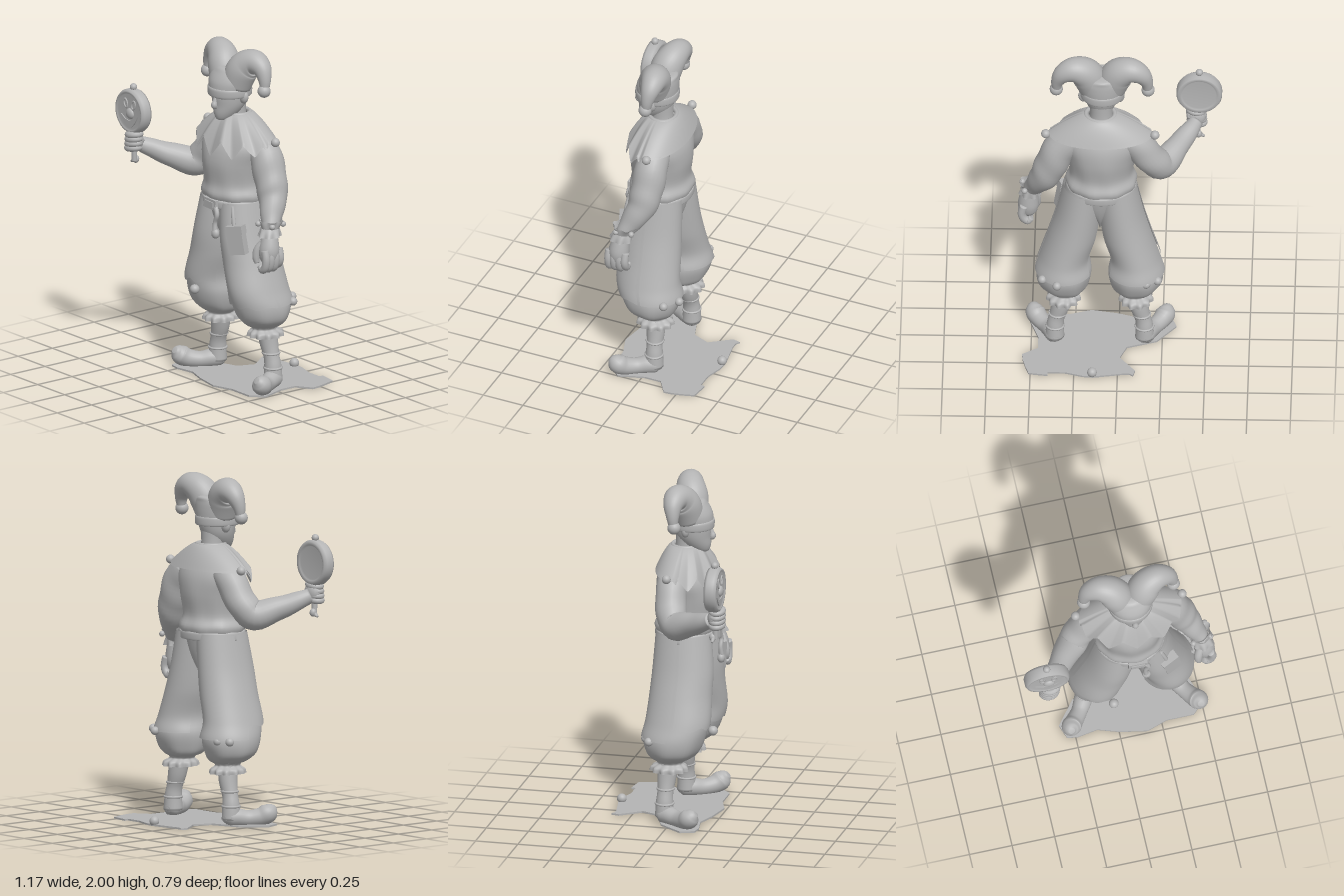
import * as THREE from 'three';
import { mergeVertices } from 'three/addons/utils/BufferGeometryUtils.js';

const clay = new THREE.MeshStandardMaterial({ color: 0xb4b4b4, side: THREE.DoubleSide });
clay.name = 'plain grey';
const RAD = Math.PI / 180, TAU = Math.PI * 2, MID = 0.1075;
const flip = rows => rows.map(([x, ...r]) => [2 * MID - x, ...r]);

export function createModel() {
  const root = new THREE.Group();
  const add = (name, geo, pos = [0, 0, 0], rot = [0, 0, 0], scale = [1, 1, 1]) => {
    const m = new THREE.Mesh(geo, clay);
    m.name = name;
    m.position.set(...pos); m.rotation.set(...rot); m.scale.set(...scale);
    root.add(m);
    return m;
  };
  const ball = (name, x, y, z, rx, ry = rx, rz = rx) =>
    add(name, new THREE.SphereGeometry(1, 20, 14), [x, y, z], [0, 0, 0], [rx, ry, rz]);

  // Smooth interpolation through rows of numbers
  const sample = (rows, t) => {
    const n = rows.length - 1, s = Math.min(Math.max(t, 0), 1) * n, i = Math.min(Math.floor(s), n - 1), f = s - i;
    const at = k => rows[Math.min(Math.max(k, 0), n)];
    return rows[0].map((_, c) => {
      const [a, b, d, e] = [at(i - 1)[c], at(i)[c], at(i + 1)[c], at(i + 2)[c]];
      return b + 0.5 * f * (d - a + f * (2 * a - 5 * b + 4 * d - e + f * (3 * (b - d) + e - a)));
    });
  };
  // Grid bent by a rule (u, v) -> [x, y, z], seams welded
  const grid = (nu, nv, fn) => {
    const g = new THREE.PlaneGeometry(1, 1, nu, nv), p = g.attributes.position, uv = g.attributes.uv;
    for (let i = 0; i < p.count; i++) p.setXYZ(i, ...fn(uv.getX(i), uv.getY(i)));
    g.deleteAttribute('uv'); g.deleteAttribute('normal');
    const w = mergeVertices(g, 1e-5);
    w.computeVertexNormals();
    return w;
  };
  // Level elliptical rings, bottom to top: rows [x, y, z, rx, rz]
  const loft = (name, rows, { grow = 0, from = 0, to = 360, hem = () => 0, fold = () => 0, nu = 40 } = {}) =>
    add(name, grid(nu, (rows.length - 1) * 5, (u, v) => {
      const a = (from + (to - from) * u) * RAD, h = hem(u), t = h + (1 - h) * v;
      const [x, y, z, rx, rz] = sample(rows, t), k = 1 + fold(a, t);
      return [x + Math.sin(a) * (rx * k + grow), y, z + Math.cos(a) * (rz * k + grow)];
    }));
  // Round limb along a path: rows [x, y, z, r], closed ends, optional floor
  const limb = (name, rows, { floor = -9, nu = 24, fold = () => 0 } = {}) => {
    const nv = (rows.length - 1) * 5, pts = [];
    let X = new THREE.Vector3(1, 0, 0);
    const pos = t => new THREE.Vector3(...sample(rows, t).slice(0, 3));
    for (let k = 0; k <= nv; k++) {
      const t = k / nv, T = pos(t + 0.01).sub(pos(t - 0.01)).normalize();
      X = X.clone().addScaledVector(T, -X.dot(T)).normalize();
      pts.push({ c: pos(t), X, Z: X.clone().cross(T), r: sample(rows, t)[3], t });
    }
    return add(name, grid(nu, nv + 2, (u, v) => {
      const k = Math.round(v * (nv + 2)) - 1, s = pts[Math.min(Math.max(k, 0), nv)];
      const a = u * TAU, r = k < 0 || k > nv ? 0 : s.r * (1 + fold(a, s.t));
      const q = s.c.clone().addScaledVector(s.X, Math.sin(a) * r).addScaledVector(s.Z, Math.cos(a) * r);
      return [q.x, Math.max(q.y, floor), q.z];
    }));
  };
  const frill = (name, rows, n, amp) => loft(name, rows, { nu: 72, fold: (a, t) => amp * (1 - t) * Math.cos(n * a) });

  // Ragged ground plate
  const outline = [[-.33, .1], [-.3, .18], [-.24, .19], [-.12, .17], [0, .21], [.16, .24], [.28, .2], [.44, .2], [.51, .13], [.46, -.02],
    [.46, -.12], [.55, -.18], [.545, -.23], [.53, -.29], [.51, -.355], [.4, -.37], [.4, -.345], [.3, -.345], [.2, -.375], [.14, -.38],
    [-.03, -.35], [-.07, -.35], [-.09, -.365], [-.1, -.32], [-.01, -.2], [-.05, -.1], [-.22, -.04]];
  const plate = new THREE.Shape(outline.map(([x, z]) => new THREE.Vector2(x, -z)));
  add('groundPlate', new THREE.ExtrudeGeometry(plate, { depth: 0.01, bevelEnabled: false }), [0, 0, 0], [-Math.PI / 2, 0, 0]);
  ball('plateBall', .145, .026, -.362, .028);

  // Legs, shoes, bloomers and skirt panels
  const leg = [[-.09, .355, -.015, .06, .07], [-.09, .375, -.01, .11, .11], [-.1, .42, 0, .145, .15], [-.098, .5, .008, .157, .178],
    [-.09, .6, .03, .135, .178], [-.045, .75, .035, .132, .17], [-.012, .9, .04, .122, .165], [.02, 1.1, .035, .11, .15]];
  const puff = (a, t) => 0.035 * Math.max(0, 1 - t * 1.7) * Math.sin(7 * a + 1) + 0.012 * Math.sin(4 * a);
  const shin = [[-.15, .04, -.035, .055], [-.148, .12, -.035, .05], [-.138, .18, -.033, .046], [-.117, .26, -.03, .054], [-.1, .37, -.02, .06]];
  const shoe = [[-.143, .045, -.085, .02], [-.148, .05, -.055, .048], [-.165, .05, -.01, .053], [-.2, .042, .05, .047],
    [-.24, .05, .105, .052], [-.265, .07, .14, .057], [-.272, .092, .165, .042], [-.272, .105, .182, .018]];
  const frillRows = [[-.1, .3, -.02, .094, .104], [-.1, .325, -.02, .09, .1], [-.095, .345, -.015, .068, .075], [-.09, .365, -.015, .085, .085]];
  for (const [side, s] of [['right', -1], ['left', 1]]) {
    const m = rows => (s < 0 ? rows : flip(rows));
    const span = (a, b) => (s < 0 ? { from: a, to: b } : { from: -b, to: -a });
    loft(side + 'Bloomer', m(leg), { fold: puff });
    limb(side + 'Shin', m(shin));
    limb(side + 'Shoe', m(shoe), { floor: 0.004 });
    frill(side + 'KneeFrill', m(frillRows), 11, 0.1);
    for (const y of [.115, .2]) {
      const c = sample(m(shin), y < .15 ? .24 : .56);
      add(side + 'StockingBand', new THREE.TorusGeometry(c[3], .007, 8, 24), [c[0], y, c[2]], [Math.PI / 2, 0, 0]);
    }
    const ragged = base => u => base + 0.02 * Math.abs(((u * 5) % 1) - 0.5) + 0.012 * Math.sin(u * 23);
    loft(side + 'FrontPanel', m(leg), { grow: .012, ...span(-88, 60), hem: ragged(s < 0 ? .54 : .44) });
    loft(side + 'BackPanel', m(leg), { grow: .012, ...span(118, 267), hem: () => .44 });
  }
  for (const [x, y, z, r] of [[.35, .51, -.185, .025], [.435, .51, -.125, .025], [-.16, .5, -.145, .025], [-.225, .5, -.11, .025], [-.035, .535, .222, .028]])
    ball('hemBall', x, y, z, r);
  loft('hips', [[.107, .8, .035, .006, .04], [.107, .88, .035, .03, .1], [.107, .98, .035, .12, .14], [.105, 1.1, .035, .19, .165]]);

  // Torso, belt and hanging things
  loft('tunic', [[.1, 1.07, .03, .18, .155], [.1, 1.13, .035, .205, .183], [.1, 1.2, .04, .183, .167], [.1, 1.32, .038, .2, .178],
    [.1, 1.42, .03, .222, .163], [.1, 1.5, .02, .19, .122], [.1, 1.56, .02, .11, .085], [.1, 1.6, .03, .07, .065]],
  { fold: (a, t) => 0.02 * Math.max(0, 1 - 1.4 * t) * Math.sin(9 * a + 8 * t) });
  loft('belt', [[.1, 1.06, .035, .2, .172], [.1, 1.065, .035, .207, .18], [.1, 1.1, .035, .203, .181], [.1, 1.11, .035, .195, .172]]);
  add('buckle', new THREE.BoxGeometry(.11, .06, .03), [.107, 1.083, .212], [0, 0, -.05]);
  add('buckleFace', new THREE.BoxGeometry(.075, .032, .01), [.107, 1.083, .228], [0, 0, -.05]);
  limb('cord', [[.15, 1.07, .215, .014], [.17, 1.03, .22, .014], [.152, .98, .22, .013], [.157, .92, .225, .016]], { nu: 10 });
  ball('cordKnob', .157, .915, .222, .026, .03, .022);
  add('beltBook', new THREE.BoxGeometry(.1, .165, .05), [.308, .905, .182], [0, .4, .18]);
  add('bookFlap', new THREE.BoxGeometry(.106, .05, .056), [.298, .965, .184], [0, .4, .18]);
  limb('bookStrap', [[.285, .97, .185, .012], [.27, 1.03, .18, .012], [.25, 1.09, .17, .012]], { nu: 10 });

  // Pointed collar: radius grows from neck to a zigzag hem, points at the front
  const STEP = 33 * RAD;
  const collar = lift => grid(144, 14, (u, v) => {
    const a = u * TAU - Math.PI, s = 1 - v, front = Math.sqrt(Math.max(0, Math.cos(a)));
    const off = 2 * Math.abs(a / STEP - Math.round(a / STEP));
    const notch = Math.abs(a) < 2.5 * STEP ? off : 0.35;
    const drop = 0.13 + front * (0.1 - 0.1 * notch);
    const k = s * (1 - 0.1 * notch * front), rz = Math.cos(a) > 0 ? 0.195 : 0.16;
    return [.105 + Math.sin(a) * (.085 + .215 * k), 1.602 - drop * Math.pow(s, 1.35) + lift,
      .025 + Math.cos(a) * (.075 + (rz - .075) * Math.pow(k, .85))];
  });
  add('collar', collar(0.006));
  add('collarUnderside', collar(-0.008));
  add('collarRoll', new THREE.TorusGeometry(.083, .014, 10, 36), [.105, 1.598, .028], [Math.PI / 2, 0, 0], [1, .92, 1]);
  for (const x of [-.208, .418]) ball('collarBall', x, 1.48, -.01, .026);

  // Arms
  const creases = (a, t) => 0.025 * Math.sin(t * 26 + 2 * Math.sin(a));
  limb('rightArm', [[-.06, 1.46, 0, .085], [-.13, 1.38, 0, .09], [-.195, 1.28, .015, .088], [-.25, 1.222, .06, .086], [-.33, 1.262, .165, .069],
    [-.4, 1.305, .26, .053], [-.438, 1.335, .315, .042]], { fold: creases });
  limb('leftArm', [[.27, 1.46, 0, .085], [.335, 1.38, -.005, .095], [.385, 1.26, 0, .095], [.425, 1.16, .015, .085], [.47, 1.07, .06, .064],
    [.505, 1, .095, .045]], { fold: creases });
  frill('leftCuff', [[.51, .965, .105, .062, .068], [.507, .99, .1, .056, .062], [.5, 1.015, .093, .05, .054]], 7, .1);
  frill('leftCuffTop', [[.5, 1.055, .085, .066, .07], [.502, 1.035, .09, .058, .062], [.503, 1.01, .094, .05, .054]], 6, .12);
  for (const [x, z] of [[.45, .14], [.555, .12], [.54, .03]]) ball('cuffBall', x, 1.03, z, .017);

  // Relaxed left hand
  limb('leftPalm', [[.507, 1, .098, .038], [.515, .94, .108, .052], [.52, .88, .116, .06], [.518, .83, .118, .05], [.515, .805, .118, .03]]);
  for (let i = 0; i < 4; i++) {
    const z = .064 + i * .034, d = i === 0 ? .015 : 0;
    limb('leftFinger', [[.545, .895, z, .022], [.557, .845, z, .023], [.548, .795 + d, z, .023], [.522, .775 + d, z, .022], [.502, .795 + d, z, .017]], { nu: 12 });
  }
  limb('leftThumb', [[.495, .93, .135, .024], [.475, .885, .162, .025], [.472, .84, .172, .022], [.48, .808, .172, .014]], { nu: 12 });

  // Right fist around the wand
  ball('rightPalm', -.438, 1.35, .338, .056, .062, .044);
  for (let i = 0; i < 4; i++)
    add('rightFinger', new THREE.TorusGeometry(.032, .019, 10, 24), [-.442 + i * .002, 1.31 + i * .027, .348], [Math.PI / 2, .15, 0], [1.2, 1, 1]);
  limb('rightThumb', [[-.405, 1.35, .32, .02], [-.402, 1.385, .345, .02], [-.425, 1.403, .368, .015]], { nu: 10 });
  add('wandStick', new THREE.CylinderGeometry(.018, .016, .2, 14), [-.445, 1.33, .34]);
  ball('wandButt', -.45, 1.235, .325, .02, .024, .02);
  limb('wandRibbon', [[-.445, 1.25, .33, .012], [-.465, 1.225, .33, .012], [-.485, 1.215, .33, .006]], { nu: 8 });

  // Smiling disc on the wand, hollow at the back
  const disc = [[0, -.026], [.095, -.026], [.103, -.034], [.122, -.036], [.131, -.02], [.131, .02], [.122, .036], [.11, .036], [.103, .028], [0, .031]];
  const [dx, dy, dz] = [-.455, 1.525, .338];
  add('wandDisc', new THREE.LatheGeometry(disc.map(p => new THREE.Vector2(...p)), 48), [dx, dy, dz], [Math.PI / 2, 0, 0]);
  ball('wandTopBall', dx, 1.668, dz, .021);
  ball('discNose', dx + .008, dy - .01, dz + .03, .034, .032, .018);
  const smile = new THREE.Shape();
  smile.moveTo(-.072, -.025);
  smile.quadraticCurveTo(0, -.17, .078, -.018);
  smile.quadraticCurveTo(.01, -.085, -.072, -.025);
  add('discSmile', new THREE.ExtrudeGeometry(smile, { depth: .008, bevelEnabled: false, curveSegments: 16 }), [dx, dy, dz + .027]);
  for (const s of [-1, 1])
    add('discEye', new THREE.TorusGeometry(.018, .005, 8, 24), [dx + s * .035 + .004, dy + .045, dz + .031], [0, 0, -s * .3], [.85, 1.4, 1]);

  // Neck, head and face
  const hx = .1;
  loft('neck', [[hx, 1.52, .03, .075, .07], [hx, 1.6, .035, .064, .064], [hx, 1.7, .04, .068, .072]]);
  loft('head', [[hx, 1.567, .13, .004, .006], [hx, 1.575, .122, .034, .04], [hx, 1.61, .095, .064, .08], [hx, 1.66, .077, .087, .1],
    [hx, 1.72, .07, .097, .113], [hx, 1.78, .065, .1, .11]]);
  limb('nose', [[hx, 1.715, .172, .012], [hx, 1.685, .18, .015], [hx, 1.663, .186, .019], [hx, 1.65, .172, .014]], { nu: 14 });
  ball('upperLip', hx, 1.629, .162, .032, .008, .014);
  ball('lowerLip', hx, 1.614, .158, .025, .008, .014);
  ball('chin', hx, 1.587, .14, .028, .018, .024);
  ball('brow', hx, 1.712, .135, .075, .013, .05);
  for (const s of [-1, 1]) ball('ear', hx + s * .1, 1.715, .05, .033, .042, .024);

  // Two-horned cap
  loft('capBrim', [[hx - .005, 1.712, .068, .108, .115], [hx - .005, 1.716, .068, .127, .126], [hx - .005, 1.755, .068, .13, .127], [hx - .005, 1.768, .066, .122, .118]]);
  loft('capCrown', [[hx - .005, 1.75, .068, .125, .122], [hx - .005, 1.8, .063, .132, .12], [hx - .005, 1.85, .05, .125, .105],
    [hx - .005, 1.88, .04, .07, .085], [hx - .005, 1.885, .04, .002, .002]]);
  const horn = [[.045, 1.78, .06, .088], [.015, 1.86, .047, .093], [-.02, 1.906, .03, .086], [-.075, 1.926, .015, .073], [-.13, 1.9, .01, .056],
    [-.16, 1.845, .015, .038], [-.166, 1.79, .02, .026]];
  for (const [side, s] of [['right', -1], ['left', 1]]) {
    const move = r => (s < 0 ? r : r.map(([x, ...q]) => [.19 - x, ...q]));
    limb(side + 'Horn', move(horn), { nu: 32 });
    const [x, y, z] = move([[-.168, 1.78, .025]])[0];
    ball(side + 'HornBall', x, y, z, .038);
  }
  return root;
}
